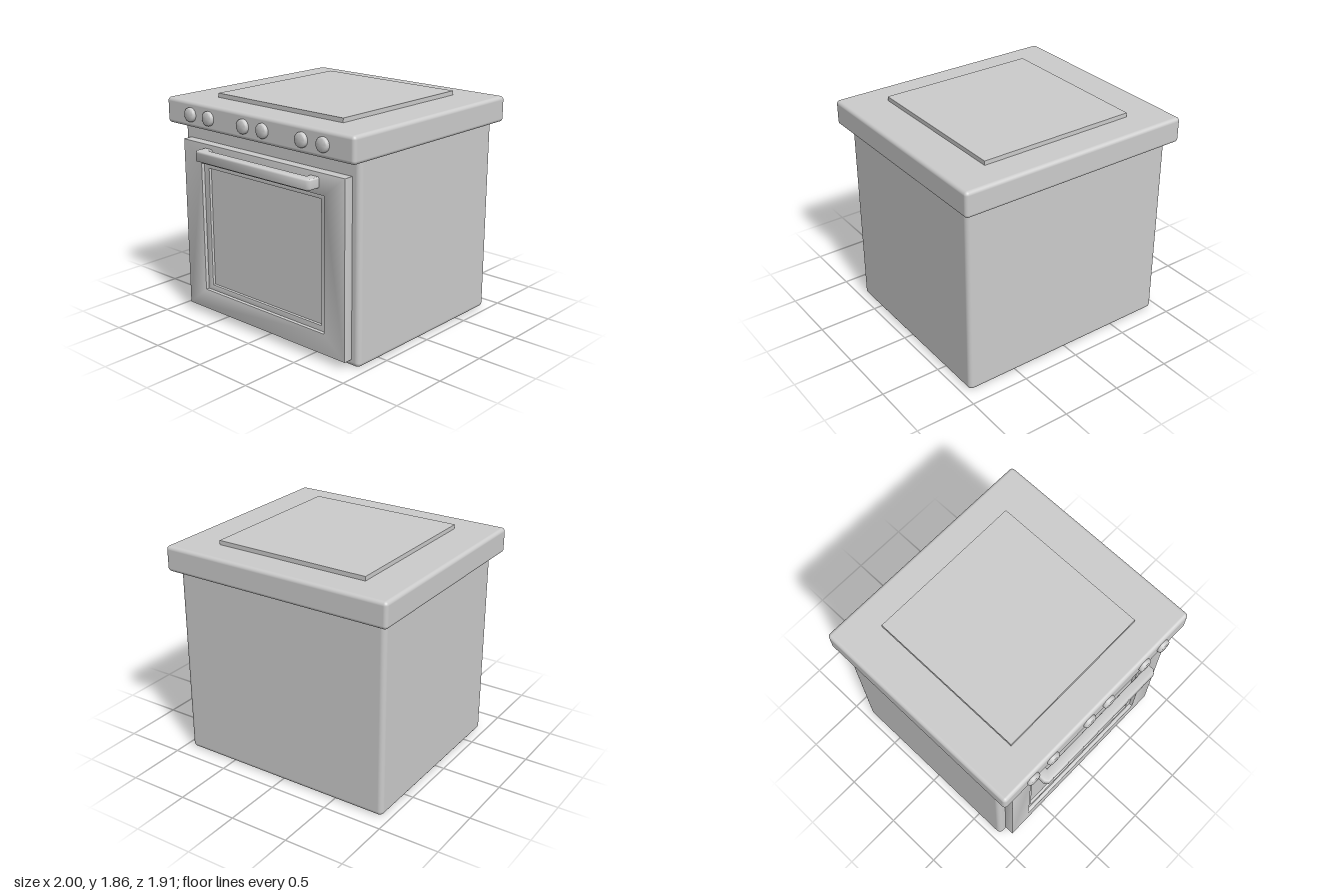
import * as THREE from 'three';
import { RoundedBoxGeometry } from 'three/addons/geometries/RoundedBoxGeometry.js';
import { toCreasedNormals } from 'three/addons/utils/BufferGeometryUtils.js';

const material = new THREE.MeshStandardMaterial({ color: 0xcccccc });

function add(parent, name, geometry, x = 0, y = 0, z = 0) {
  const mesh = new THREE.Mesh(geometry, material);
  mesh.name = name;
  mesh.position.set(x, y, z);
  parent.add(mesh);
  return mesh;
}

// Rounded box given by its lower and upper limits
function roundedBox(parent, name, [x0, x1], [y0, y1], [z0, z1], radius) {
  const geometry = new RoundedBoxGeometry(x1 - x0, y1 - y0, z1 - z0, 4, radius);
  return add(parent, name, geometry, (x0 + x1) / 2, (y0 + y1) / 2, (z0 + z1) / 2);
}

function rectangle(PathType, halfWidth, y0, y1) {
  const path = new PathType();
  path.moveTo(-halfWidth, y0);
  path.lineTo(halfWidth, y0);
  path.lineTo(halfWidth, y1);
  path.lineTo(-halfWidth, y1);
  path.closePath();
  return path;
}

// Flat panel with a rectangular opening, spanning z0 to z1
function framePanel(parent, name, outer, inner, z0, z1, bevel) {
  const shape = rectangle(THREE.Shape, ...outer);
  shape.holes.push(rectangle(THREE.Path, ...inner));
  const geometry = new THREE.ExtrudeGeometry(shape, {
    depth: z1 - z0 - 2 * bevel, bevelEnabled: true, bevelThickness: bevel,
    bevelSize: bevel, bevelOffset: -bevel, bevelSegments: 2,
  });
  return add(parent, name, toCreasedNormals(geometry, 0.7), 0, 0, z0 + bevel);
}

export function createModel() {
  const stove = new THREE.Group();
  stove.name = 'stove';

  // Cabinet and overhanging worktop
  roundedBox(stove, 'cabinet', [-0.94, 0.94], [0, 1.66], [-0.87, 0.76], 0.04);
  roundedBox(stove, 'worktop', [-1, 1], [1.61, 1.82], [-0.955, 0.89], 0.03);

  // Raised hob plate
  add(stove, 'hobPlate', new THREE.BoxGeometry(1.335, 0.055, 1.335), 0, 1.8275, -0.035);

  // Oven door: outer panel, stepped window frame and recessed window
  const door = new THREE.Group();
  door.name = 'ovenDoor';
  stove.add(door);
  framePanel(door, 'doorPanel', [0.87, 0.06, 1.485], [0.665, 0.23, 1.315], 0.74, 0.84, 0.004);
  framePanel(door, 'windowFrame', [0.68, 0.215, 1.33], [0.61, 0.275, 1.275], 0.75, 0.81, 0.006);
  add(door, 'window', new THREE.BoxGeometry(1.25, 1.03, 0.03), 0, 0.775, 0.772);

  // Handle: a shallow U seen from above, extruded upwards
  const outline = new THREE.Shape();
  [[-0.61, 0.82], [-0.61, 0.925], [-0.59, 0.945], [0.59, 0.945], [0.61, 0.925], [0.61, 0.82],
    [0.54, 0.82], [0.54, 0.885], [-0.54, 0.885], [-0.54, 0.82]]
    .forEach(([x, z], i) => (i ? outline.lineTo(x, -z) : outline.moveTo(x, -z)));
  outline.closePath();
  const handle = new THREE.ExtrudeGeometry(outline, {
    depth: 0.055, bevelEnabled: true, bevelThickness: 0.015, bevelSize: 0.01, bevelSegments: 3,
  });
  handle.rotateX(-Math.PI / 2);
  add(door, 'handle', toCreasedNormals(handle, 0.9), 0, 1.38, 0);

  // Control knobs in three pairs
  const profile = [[0.058, -0.02], [0.058, 0.015], [0.054, 0.024], [0.046, 0.029], [0, 0.03]]
    .map(([r, h]) => new THREE.Vector2(r, h));
  const knob = toCreasedNormals(new THREE.LatheGeometry(profile, 32).rotateX(Math.PI / 2), 0.7);
  const knobs = new THREE.Group();
  knobs.name = 'knobs';
  stove.add(knobs);
  for (const x of [-0.71, -0.5, -0.11, 0.1, 0.5, 0.71]) add(knobs, 'knob', knob, x, 1.715, 0.89);

  return stove;
}
